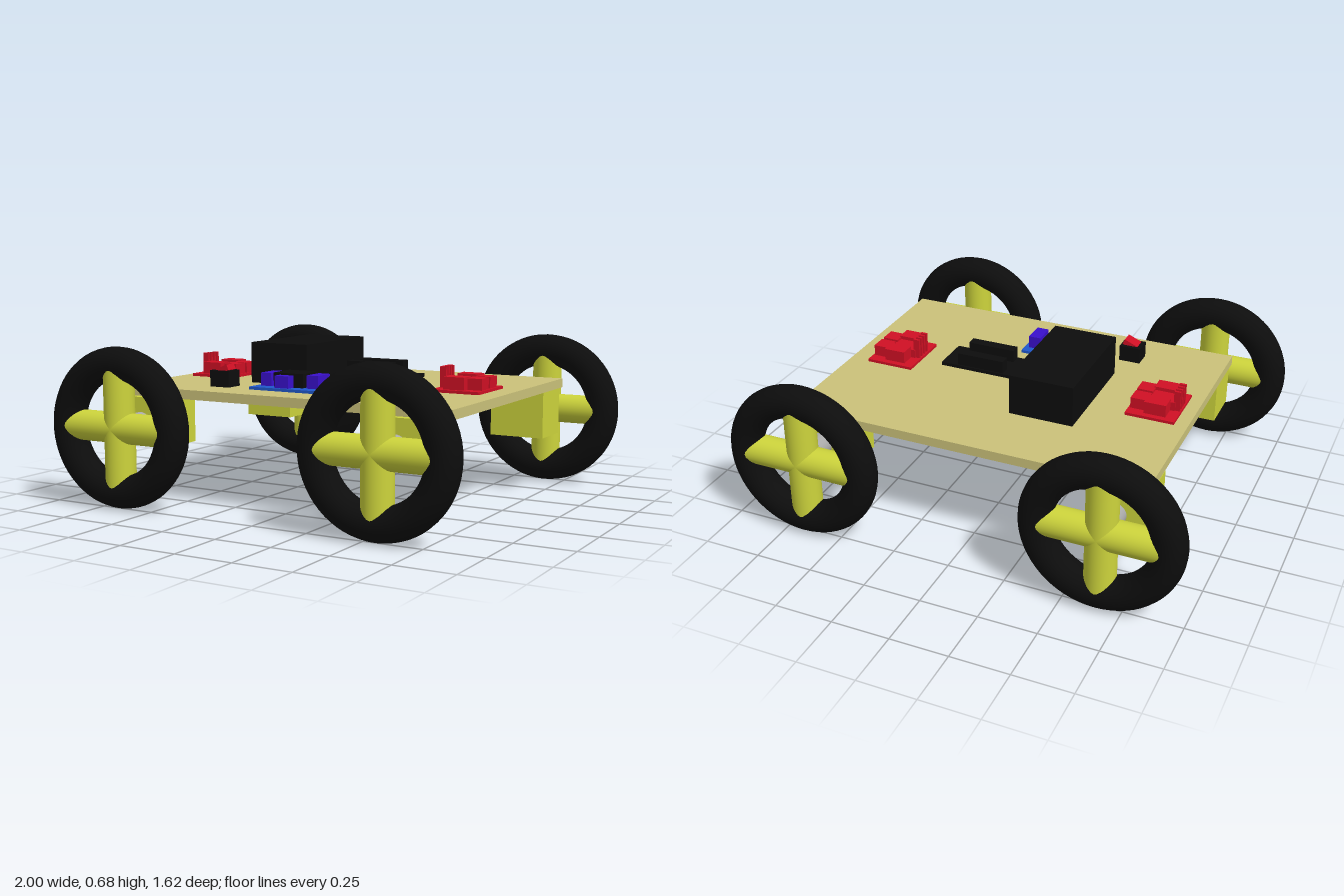
import * as THREE from 'three';

const mat = (name, color) => {
  const m = new THREE.MeshStandardMaterial({ color });
  m.name = name;
  return m;
};

export function createModel() {
  const sand = mat('sand board', 0xcbc27a);
  const lime = mat('lime plastic', 0xcdd43c);
  const black = mat('black', 0x0d0d0d);
  const grey = mat('grey metal', 0xaaaaaa);
  const red = mat('red', 0xd01024);
  const blue = mat('blue', 0x2058cc);
  const violet = mat('violet', 0x3a10cc);

  const car = new THREE.Group();
  car.name = 'roverChassis';

  const group = (name) => {
    const g = new THREE.Group();
    g.name = name;
    car.add(g);
    return g;
  };
  const add = (parent, name, geometry, material) => {
    const mesh = new THREE.Mesh(geometry, material);
    mesh.name = name;
    parent.add(mesh);
    return mesh;
  };
  // Box given by its lower and upper limits on each axis
  const box = (parent, name, material, x0, x1, y0, y1, z0, z1) => {
    const mesh = add(parent, name, new THREE.BoxGeometry(x1 - x0, y1 - y0, z1 - z0), material);
    mesh.position.set((x0 + x1) / 2, (y0 + y1) / 2, (z0 + z1) / 2);
    return mesh;
  };

  // Deck
  const top = 0.495;
  box(car, 'deck', sand, -0.787, 0.782, 0.455, top, -0.605, 0.575);

  // Wheels with cross spokes, axle and motor
  const tire = new THREE.TorusGeometry(0.27, 0.07, 24, 64);
  const spoke = new THREE.CylinderGeometry(0.065, 0.065, 0.54, 32);
  const axle = new THREE.CylinderGeometry(0.05, 0.05, 0.16, 32);
  const corners = [
    ['frontRight', -0.66, 1], ['frontLeft', 0.557, 1],
    ['backRight', -0.652, -1], ['backLeft', 0.658, -1],
  ];
  for (const [name, x, side] of corners) {
    const wheel = group(name + 'Wheel');
    wheel.position.set(x, 0.34, side * 0.742);
    add(wheel, 'tire', tire, black);
    add(wheel, 'verticalSpoke', spoke, lime);
    add(wheel, 'horizontalSpoke', spoke, lime).rotation.z = Math.PI / 2;
    const shaft = add(wheel, 'axle', axle, grey);
    shaft.rotation.x = Math.PI / 2;
    shaft.position.z = -side * 0.08;
    const motor = add(wheel, 'motor', new THREE.BoxGeometry(0.246, 0.207, 0.2), lime);
    motor.position.set(side * 0.013, 0.0105, -side * 0.24);
  }

  // Battery pack
  box(car, 'battery', black, -0.355, -0.073, top, 0.672, -0.297, 0.21);

  // Controller board with two header rows
  const controller = group('controller');
  box(controller, 'plate', black, 0.02, 0.345, 0.53, 0.545, -0.08, 0.09);
  for (const z of [-0.075, 0.04]) {
    box(controller, 'header', black, 0.055, 0.268, 0.545, 0.6, z, z + 0.045);
  }

  // Motor drivers: terminals, centre chip and heat sink fins
  for (const [name, x] of [['rightDriver', -0.73], ['leftDriver', 0.48]]) {
    const driver = group(name);
    driver.position.set(x, top, 0);
    box(driver, 'plate', red, 0, 0.213, 0, 0.012, -0.12, 0.133);
    for (const z of [-0.095, 0.048]) {
      box(driver, 'sideTerminal', red, 0.045, 0.14, 0.012, 0.065, z, z + 0.066);
    }
    box(driver, 'chip', red, 0.025, 0.14, 0.012, 0.05, -0.03, 0.048);
    for (const z of [-0.073, 0.012]) {
      box(driver, 'frontTerminal', red, 0.135, 0.205, 0.012, 0.06, z, z + 0.07);
    }
    for (let i = 0; i < 4; i++) {
      const z = -0.025 + i * 0.024;
      box(driver, 'fin', red, 0.005, 0.033, 0.012, 0.1, z, z + 0.011);
    }
  }

  // Sensor board
  const sensor = group('sensorBoard');
  box(sensor, 'plate', blue, -0.222, 0.1, top, 0.507, 0.232, 0.43);
  box(sensor, 'block', black, -0.135, 0.008, 0.507, 0.566, 0.25, 0.373);
  box(sensor, 'rightTerminal', violet, -0.2, -0.148, 0.507, 0.562, 0.272, 0.372);
  box(sensor, 'leftTerminal', violet, 0.025, 0.08, 0.507, 0.562, 0.272, 0.372);
  box(sensor, 'frontTerminal', violet, -0.105, -0.038, 0.507, 0.558, 0.373, 0.415);

  // Rocker switch
  const rocker = group('rockerSwitch');
  box(rocker, 'body', black, -0.425, -0.33, top, 0.565, 0.34, 0.423);
  box(rocker, 'cap', red, -0.405, -0.34, 0.555, 0.58, 0.357, 0.413).rotation.z = 0.4;

  return car;
}
